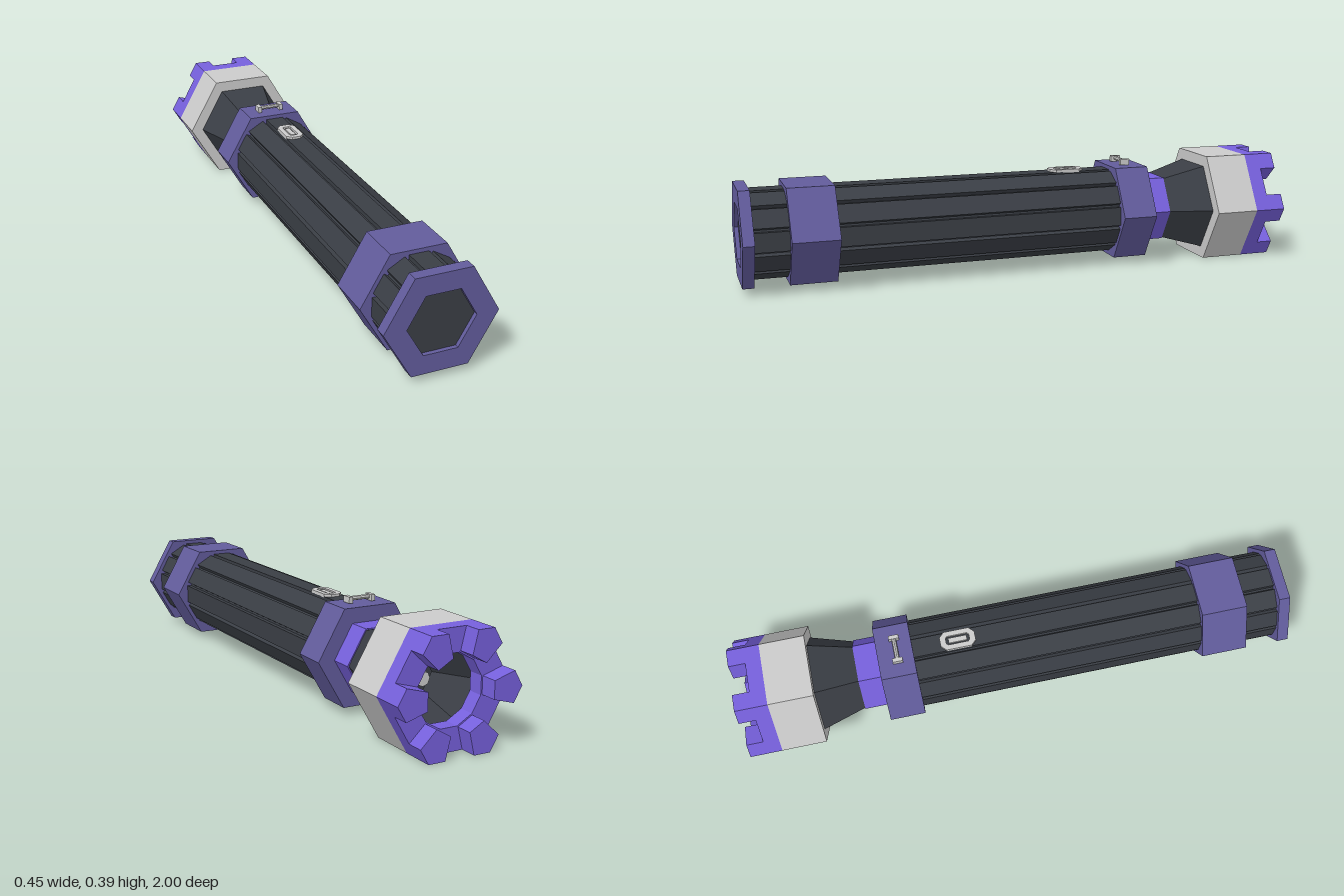
import * as THREE from 'three';

const CY = 0.196; // height of the long axis

const mat = (color) => new THREE.MeshStandardMaterial({ color, flatShading: true });
const dark = mat(0x3a3e45), muted = mat(0x625c9c), violet = mat(0x7660dc), grey = mat(0xcccccc);
const inner = mat(0x3a3e45);
inner.side = THREE.DoubleSide;

const polar = (r, a) => new THREE.Vector2(r * Math.cos(a), r * Math.sin(a));
const ngon = (r, n = 6, start = 0) =>
  Array.from({ length: n }, (_, i) => polar(r, start + (i / n) * Math.PI * 2));

export function createModel() {
  const root = new THREE.Group();
  const barrel = new THREE.Group();
  barrel.name = 'flashlight';
  barrel.position.y = CY;
  root.add(barrel);

  const add = (name, geo, material, parent = barrel) => {
    const mesh = new THREE.Mesh(geo, material);
    mesh.name = name;
    parent.add(mesh);
    return mesh;
  };
  // Outline extruded along the axis from z0 to z1, with an optional hole
  const prism = (points, z0, z1, hole) => {
    const shape = new THREE.Shape(points);
    if (hole) shape.holes.push(new THREE.Path(hole));
    return new THREE.ExtrudeGeometry(shape, { depth: z1 - z0, bevelEnabled: false }).translate(0, 0, z0);
  };
  // Six-sided taper from radius r0 at z0 to r1 at z1
  const taper = (r0, r1, z0, z1, open = false) =>
    new THREE.CylinderGeometry(r1, r0, z1 - z0, 6, 1, open, Math.PI / 6)
      .rotateX(Math.PI / 2).translate(0, 0, (z0 + z1) / 2);

  // Grip: twelve flat ribs parted by narrow grooves
  const ribs = [];
  for (let i = 0; i < 12; i++) {
    const a = (i * Math.PI) / 6;
    for (const [r, t] of [[0.14, -0.034], [0.155, -0.034], [0.155, 0.034], [0.14, 0.034]])
      ribs.push(new THREE.Vector2(r * Math.cos(a) - t * Math.sin(a), r * Math.sin(a) + t * Math.cos(a)));
  }
  add('grip', prism(ribs, -0.4, 0.965), dark);

  // Tail cap with recessed centre
  add('tailCap', prism(ngon(0.195), 0.96, 1, ngon(0.118)), muted);
  add('tailRecess', prism(ngon(0.12), 0.95, 0.985), dark);

  // Collars, neck and flare
  add('rearCollar', prism(ngon(0.195), 0.675, 0.84), muted);
  add('frontCollar', prism(ngon(0.195), -0.487, -0.36), muted);
  add('neck', prism(ngon(0.135), -0.57, -0.48), violet);
  add('flare', taper(0.181, 0.13, -0.73, -0.568), dark);

  // Head: hollow hexagonal shell
  add('head', prism(ngon(0.226), -0.885, -0.725, ngon(0.15)), grey);

  // Crown: ring with a prong at every corner
  add('crownRing', prism(ngon(0.226), -0.94, -0.885, ngon(0.12, 12, Math.PI / 12)), violet);
  const apothem = 0.226 * Math.cos(Math.PI / 6);
  const outer = 0.226 / 2 - 0.053; // length of prong along each face
  const c30 = Math.cos(Math.PI / 6);
  const prong = [
    new THREE.Vector2(0.121, -0.03),
    new THREE.Vector2(0.226 - outer / 2, -outer * c30),
    new THREE.Vector2(apothem / c30, 0),
    new THREE.Vector2(0.226 - outer / 2, outer * c30),
    new THREE.Vector2(0.121, 0.03),
  ];
  for (let i = 0; i < 6; i++)
    add('crownProng', prism(prong, -1, -0.94), violet).rotation.z = (i * Math.PI) / 3;

  // Reflector and bulb inside the head
  add('reflector', taper(0.15, 0.07, -0.885, -0.745, true), inner);
  add('bulb', new THREE.CylinderGeometry(0.025, 0.032, 0.07, 8).rotateX(-Math.PI / 2).translate(0, 0, -0.765), grey);

  // Lanyard bar on the front collar
  const clip = new THREE.Group();
  clip.name = 'lanyardBar';
  clip.position.set(0, 0.184, -0.418);
  barrel.add(clip);
  for (const s of [-1, 1])
    add('barEnd', new THREE.BoxGeometry(0.014, 0.022, 0.036).translate(s * 0.043, -0.002, 0), grey, clip);
  add('bar', new THREE.CylinderGeometry(0.008, 0.008, 0.08, 8).rotateZ(Math.PI / 2), grey, clip);

  // Switch: long octagonal frame with a raised button
  const octagon = (w, h, c) => [
    [w - c, -h], [w, -h + c], [w, h - c], [w - c, h], [-w + c, h], [-w, h - c], [-w, -h + c], [-w + c, -h],
  ].map(([x, y]) => new THREE.Vector2(x, y));
  const toggle = new THREE.Group();
  toggle.name = 'switch';
  toggle.position.set(0, 0.152, -0.197);
  toggle.rotation.x = -Math.PI / 2;
  barrel.add(toggle);
  add('switchFrame', prism(octagon(0.034, 0.063, 0.018), 0, 0.012, octagon(0.016, 0.042, 0.006)), grey, toggle);
  add('switchButton', prism(octagon(0.009, 0.033, 0.002), 0, 0.01), grey, toggle);

  return root;
}
